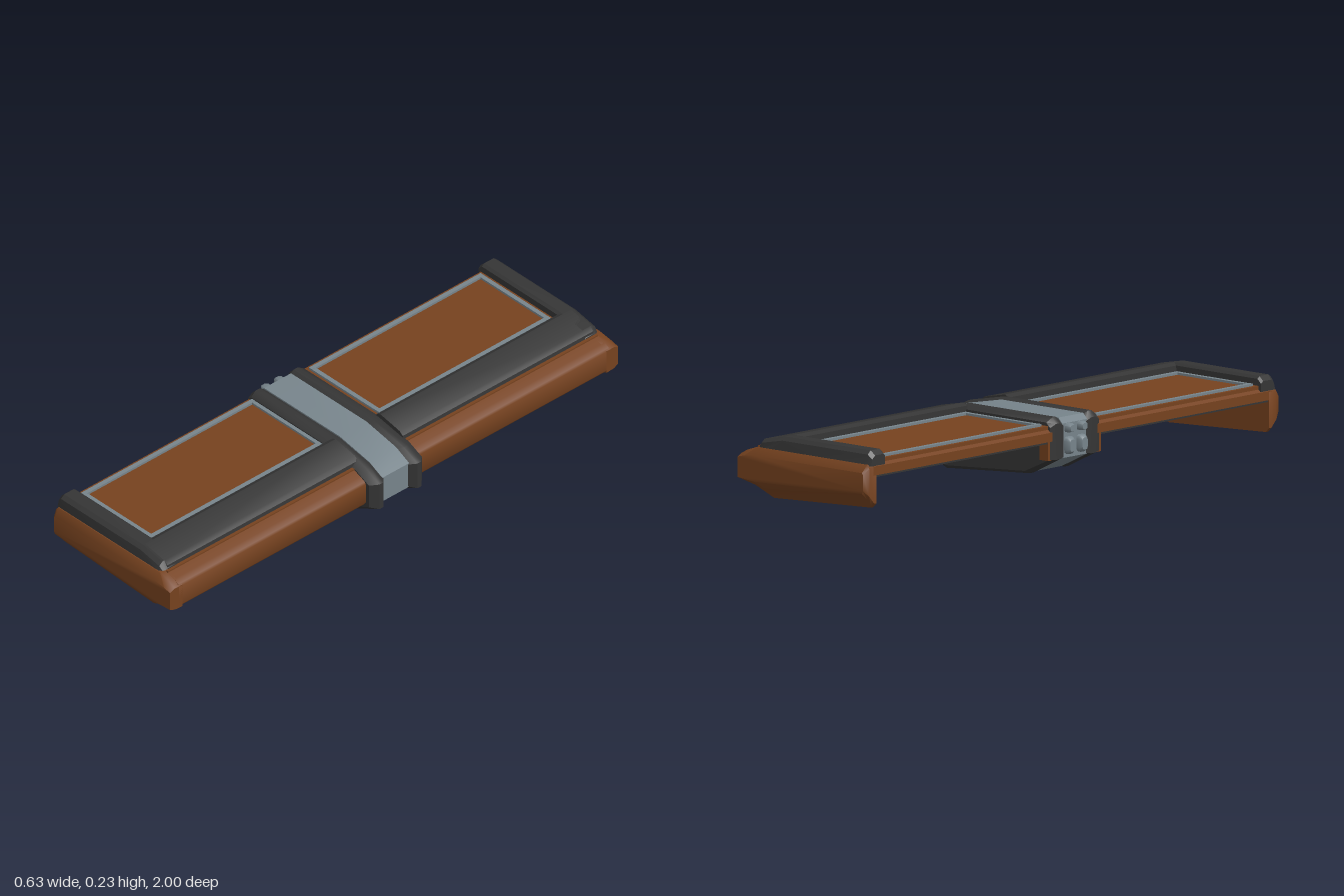
import * as THREE from 'three';
import { toCreasedNormals } from 'three/addons/utils/BufferGeometryUtils.js';

const mat = (name, color) => new THREE.MeshStandardMaterial({ name, color });

// Skins a row of convex loops and closes both ends; winding is set to face outward.
function loft(loops, crease = 0.5) {
  const n = loops[0].length, pos = loops.flat(2), idx = [];
  for (let k = 0; k < loops.length - 1; k++)
    for (let i = 0; i < n; i++) {
      const a = k * n + i, b = k * n + (i + 1) % n;
      idx.push(a, b, b + n, a, b + n, a + n);
    }
  const last = (loops.length - 1) * n;
  for (let i = 1; i < n - 1; i++) idx.push(0, i + 1, i, last, last + i, last + i + 1);
  const v = (i) => new THREE.Vector3().fromArray(pos, i * 3);
  let volume = 0;
  for (let t = 0; t < idx.length; t += 3)
    volume += v(idx[t]).dot(v(idx[t + 1]).cross(v(idx[t + 2])));
  if (volume < 0) idx.reverse();
  const g = new THREE.BufferGeometry();
  g.setAttribute('position', new THREE.Float32BufferAttribute(pos, 3));
  g.setIndex(idx);
  return toCreasedNormals(g, crease);
}

const atZ = (profile, z) => profile.map(([x, y]) => [x, y, z]);
const prism = (profile, z0, z1, crease) => loft([atZ(profile, z0), atZ(profile, z1)], crease);

export function createModel() {
  const model = new THREE.Group();
  model.name = 'foldingPanelUnit';
  const brown = mat('brown shell', 0x76421f);
  const dark = mat('dark trim', 0x353535);
  const steel = mat('steel grey', 0x77848b);

  const add = (parent, name, geometry, material) => {
    const mesh = new THREE.Mesh(geometry, material);
    mesh.name = name;
    parent.add(mesh);
    return mesh;
  };
  const box = (parent, name, material, x0, x1, y0, y1, z0, z1) => {
    const m = add(parent, name, new THREE.BoxGeometry(x1 - x0, y1 - y0, Math.abs(z1 - z0)), material);
    m.position.set((x0 + x1) / 2, (y0 + y1) / 2, (z0 + z1) / 2);
  };

  // Two mirrored wings
  for (const s of [1, -1]) {
    const wing = new THREE.Group();
    wing.name = s > 0 ? 'frontWing' : 'backWing';
    model.add(wing);

    // Thin top plate with a deep rounded rail along one edge
    add(wing, 'topPlate', prism([[-0.295, 0.148], [-0.295, 0.178], [-0.285, 0.187],
      [0.22, 0.187], [0.22, 0.148]], s * 0.08, s * 0.96), brown);
    add(wing, 'edgeRail', prism([[0.22, 0.07], [0.205, 0.187], [0.25, 0.172], [0.27, 0.162],
      [0.275, 0.154], [0.275, 0.08], [0.268, 0.07]], s * 0.08, s * 0.96, 0.9), brown);
    box(wing, 'underside', dark, -0.29, 0.22, 0.141, 0.149, s * 0.1, s * 0.95);
    box(wing, 'railLining', dark, 0.2, 0.235, 0.069, 0.15, s * 0.1, s * 0.945);

    // End cap whose lower lip slopes inward
    const full = [[-0.295, 0.055], [-0.295, 0.175], [-0.285, 0.187], [0.205, 0.187],
      [0.25, 0.172], [0.275, 0.157], [0.275, 0.07], [0.15, 0.02], [-0.28, 0.04]];
    const mid = [[-0.295, 0.08], [-0.295, 0.173], [-0.285, 0.185], [0.205, 0.185],
      [0.25, 0.171], [0.275, 0.157], [0.275, 0.072], [0.17, 0.05], [-0.284, 0.07]];
    const outer = [[-0.285, 0.1], [-0.285, 0.154], [-0.28, 0.16], [0.2, 0.16],
      [0.245, 0.155], [0.273, 0.148], [0.273, 0.08], [0.2, 0.073], [-0.28, 0.091]];
    add(wing, 'endCap', loft([atZ(full, s * 0.945), atZ(full, s * 0.957),
      atZ(mid, s * 0.98), atZ(outer, s)], 0.72), brown);

    // Raised dark trim: long strip and end band
    add(wing, 'trimStrip', prism([[0.08, 0.18], [0.082, 0.222], [0.1, 0.23], [0.192, 0.212],
      [0.207, 0.2], [0.21, 0.18]], s * 0.1, s * 0.95), dark);
    const band = [[-0.296, 0.215, 0.973], [-0.28, 0.23, 0.978], [0.1, 0.23, 0.978],
      [0.192, 0.212, 0.978], [0.21, 0.19, 0.968]].map(([x, top, z]) => [
      [0.905, 0.18], [0.905, top - 0.008], [0.915, top], [z - 0.02, top],
      [z - 0.006, Math.max(top - 0.012, 0.183)], [z, 0.18]].map(([bz, y]) => [x, y, s * bz]));
    add(wing, 'trimEndBand', loft(band), dark);

    // Panel with a steel frame
    box(wing, 'panel', brown, -0.285, 0.085, 0.18, 0.199, s * 0.1, s * 0.908);
    for (const x of [-0.272, 0.05]) box(wing, 'frameSide', steel, x, x + 0.016, 0.19, 0.207, s * 0.126, s * 0.892);
    for (const z of [0.126, 0.876]) box(wing, 'frameEnd', steel, -0.272, 0.066, 0.19, 0.2065, s * z, s * (z + 0.016));

    // Small brown stop under the plate, beside the clamp
    box(wing, 'innerStop', brown, -0.293, -0.255, 0.085, 0.15, s * 0.1, s * (0.128 + s * 0.01));
  }

  // Central clamp: two bevelled dark rings around a steel band
  const clamp = new THREE.Group();
  clamp.name = 'clamp';
  clamp.position.z = 0.01;
  model.add(clamp);
  const ring = [[-0.298, 0.085], [-0.298, 0.205], [-0.28, 0.224], [0.1, 0.224], [0.25, 0.195],
    [0.315, 0.163], [0.315, 0.063], [0.19, 0], [-0.18, 0.027]];
  const inset = (dx, dy) => ring.map(([x, y]) => [-0.2 + (x + 0.2) * (1 - dx / 0.515),
    0.112 + (y - 0.112) * (1 - dy / 0.112)]);
  for (const s of [1, -1]) {
    add(clamp, 'clampRing', loft([atZ(inset(0.025, 0.014), s * 0.053), atZ(ring, s * 0.076),
      atZ(ring, s * 0.094), atZ(inset(0.025, 0.014), s * 0.118)], 0.7), dark);
  }
  add(clamp, 'clampBand', prism(inset(0.023, 0.005), -0.06, 0.06, 0.7), steel);

  // Rounded buttons on the clamp's end
  for (const z of [-0.033, 0.026])
    for (const [y, h, w] of [[0.127, 0.029, 0.018], [0.185, 0.015, 0.016]]) {
      const face = (x, k) => Array.from({ length: 12 }, (_, i) => {
        const a = (i + 0.5) * Math.PI / 6;
        const soft = (t) => Math.sign(t) * Math.sqrt(Math.abs(t));
        return [x, y + soft(Math.sin(a)) * h * k, z + soft(Math.cos(a)) * w * k];
      });
      add(clamp, 'button', loft([face(-0.28, 1), face(-0.306, 1), face(-0.317, 0.7)], 0.9), steel);
    }
  return model;
}
